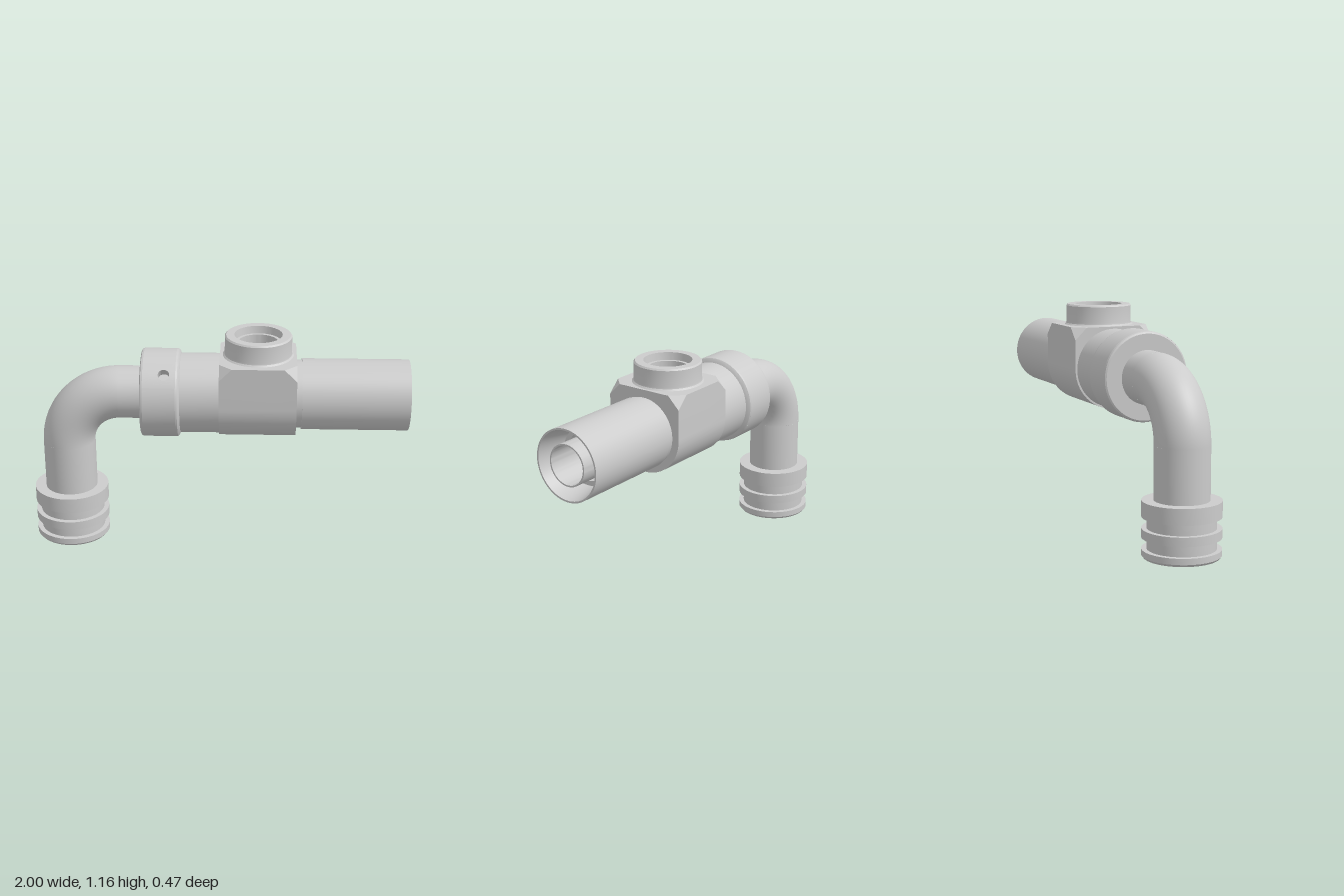
import * as THREE from 'three';
import { toCreasedNormals } from 'three/addons/utils/BufferGeometryUtils.js';
import { ConvexGeometry } from 'three/addons/geometries/ConvexGeometry.js';
import { ParametricGeometry } from 'three/addons/geometries/ParametricGeometry.js';

const AXIS = 0.834;   // height of the horizontal axis
const BORE = 0.1;     // flow passage radius
const DROP_X = -0.8;  // x of the vertical leg
const BEND = 0.28;    // elbow centreline radius
const V = (p) => new THREE.Vector2(p[0], p[1]);

export function createModel() {
  const group = new THREE.Group();
  const material = new THREE.MeshStandardMaterial({ color: 0xcccccc });
  const twoSided = new THREE.MeshStandardMaterial({ color: 0xcccccc, side: THREE.DoubleSide });

  const add = (name, geometry, mat = material) => {
    const mesh = new THREE.Mesh(geometry, mat);
    mesh.name = name;
    group.add(mesh);
    return mesh;
  };
  // Turned part about y; points are [radius, height], outside listed upward
  const turned = (points, start = 0, sweep = Math.PI * 2) =>
    toCreasedNormals(new THREE.LatheGeometry(points.map(V), 72, start, sweep), 0.5);
  // Turned part about the horizontal axis; points are [radius, x]
  const turnedX = (points, start, sweep) =>
    turned(points, start, sweep).rotateZ(-Math.PI / 2).translate(0, AXIS, 0);

  // Vertical leg with the grooved plug, bored through
  const bendY = AXIS - BEND;
  add('groovedPlug', turned([
    [BORE, bendY], [BORE, 0], [0.188, 0], [0.198, 0.012], [0.198, 0.043],
    [0.172, 0.043], [0.172, 0.1], [0.198, 0.1], [0.198, 0.146],
    [0.172, 0.146], [0.172, 0.203], [0.198, 0.203], [0.198, 0.285],
    [0.139, 0.285], [0.139, bendY],
  ]).translate(DROP_X, 0, 0));

  // Elbow: quarter torus, plus the inward-facing passage
  const quarter = (r) => new THREE.TorusGeometry(BEND, r, 48, 40, Math.PI / 2)
    .rotateZ(Math.PI / 2).translate(DROP_X + BEND, bendY, 0);
  add('elbow', quarter(0.139));
  const passage = quarter(BORE);
  passage.index.array.reverse();
  passage.attributes.normal.array.forEach((n, i, a) => { a[i] = -n; });
  add('elbowBore', passage);
  add('elbowNeck', turnedX([[0.139, DROP_X + BEND], [0.139, -0.39]]));

  // Collar: rounded ends all round, middle band left open for the side hole
  const R = 0.233, x0 = -0.385, x1 = -0.215, gap = 0.3;
  add('collarBackEnd', turnedX([[0.13, -0.4], [0.222, -0.4], [0.23, -0.395], [R, x0]]));
  add('collarFrontEnd', turnedX([[R, x1], [0.231, -0.206], [0.224, -0.2], [0.21, -0.194]]));
  add('collarBand', turnedX([[R, x0], [R, x1]], -Math.PI / 4 + gap, Math.PI * 2 - 2 * gap));

  // Patch running from the band opening to the hole rim, then down the hole wall
  const holeX = -0.275, holeR = 0.03;
  const onCollar = (x, a, r, target) =>
    target.set(x, AXIS + r * Math.sin(a + Math.PI / 4), r * Math.cos(a + Math.PI / 4));
  const patch = new ParametricGeometry((u, v, target) => {
    const t = u * Math.PI * 2, c = Math.cos(t), s = Math.sin(t);
    const k = 1 / Math.max(Math.abs(c), Math.abs(s));
    const f = Math.min(1, v * 2);
    const edgeX = (x0 + x1) / 2 + c * k * (x1 - x0) / 2;
    const x = THREE.MathUtils.lerp(edgeX, holeX + c * holeR, f);
    const a = THREE.MathUtils.lerp(s * k * gap, s * holeR / R, f);
    onCollar(x, a, v > 0.5 ? R - (v - 0.5) * 0.1 : R, target);
  }, 64, 16);
  add('collarHole', toCreasedNormals(patch, 0.5), twoSided);
  const floor = add('collarHoleFloor', new THREE.CircleGeometry(holeR, 32));
  onCollar(holeX, 0, R - 0.048, floor.position);
  floor.rotation.x = -Math.PI / 4;

  // Cylindrical barrel between collar and block
  add('barrel', turnedX([[0.21, -0.21], [0.21, 0.02]]));

  // Block: flat top and sides, round belly, cut top corners
  const bx = 0.21, hx = 0.2, hz = 0.22, top = 1.055, cut = 0.065;
  const belly = [];
  for (let i = 0; i <= 40; i++) {
    const a = Math.PI + (i / 40) * Math.PI;
    belly.push([Math.cos(a) * hz, AXIS + Math.sin(a) * hz]);
  }
  const endOutline = [...belly, [hz, top - cut], [hz - cut, top], [cut - hz, top], [-hz, top - cut]];
  const corners = [];
  for (const sx of [-1, 1]) {
    endOutline.forEach(([z, y]) => corners.push(new THREE.Vector3(bx + sx * hx, y, z)));
    for (const sz of [-1, 1]) corners.push(new THREE.Vector3(bx + sx * (hx - cut), top, sz * hz));
  }
  // Keep the hull without its ends and top, which are plates with holes
  const hull = new ConvexGeometry(corners);
  const pos = hull.attributes.position, nor = hull.attributes.normal, kept = [];
  for (let i = 0; i < pos.count; i += 3) {
    if (Math.abs(nor.getX(i)) > 0.99 || nor.getY(i) > 0.99) continue;
    for (let j = i; j < i + 3; j++) kept.push(pos.getX(j), pos.getY(j), pos.getZ(j));
  }
  const sides = new THREE.BufferGeometry();
  sides.setAttribute('position', new THREE.Float32BufferAttribute(kept, 3));
  add('blockSides', toCreasedNormals(sides, 0.4));

  const plate = (outline, cx, cy, r) => {
    const shape = new THREE.Shape(outline.map(V));
    shape.holes.push(new THREE.Path().absarc(cx, cy, r, 0, Math.PI * 2, true));
    return new THREE.ShapeGeometry(shape, 48);
  };
  for (const s of [-1, 1]) {
    add('blockEnd', plate(endOutline, 0, AXIS, BORE)
      .rotateY(s * Math.PI / 2).translate(bx + s * hx, 0, 0));
  }
  const a = hx - cut, b = hz - cut;
  add('blockTop', plate([[-hx, -b], [-a, -hz], [a, -hz], [hx, -b], [hx, b], [a, hz], [-a, hz], [-hx, b]],
    0, 0, 0.13).rotateX(-Math.PI / 2).translate(bx, top, 0));

  // Port on top, with a stepped bore reaching the flow passage
  add('topPort', turned([
    [0.185, top], [0.177, top + 0.008], [0.175, top + 0.016], [0.175, 1.157], [0.168, 1.165],
    [0.125, 1.165], [0.12, 1.125], [0.103, 1.125], [0.103, 0.9],
  ]).translate(bx, 0, 0));

  // Outlet: flared sleeve around an inner nozzle
  add('outletSleeve', turnedX([
    [0.18, 0.4], [0.18, 0.44], [0.187, 0.44], [0.187, 1], [0.178, 1],
    [0.148, 0.85], [0.123, 0.85], [0.123, 0.72], [0.108, 0.72],
  ]));
  add('outletNozzle', turnedX([
    [0.108, 0.72], [0.108, 0.995], [BORE, 0.995], [BORE, DROP_X + BEND],
  ]));

  return group;
}
